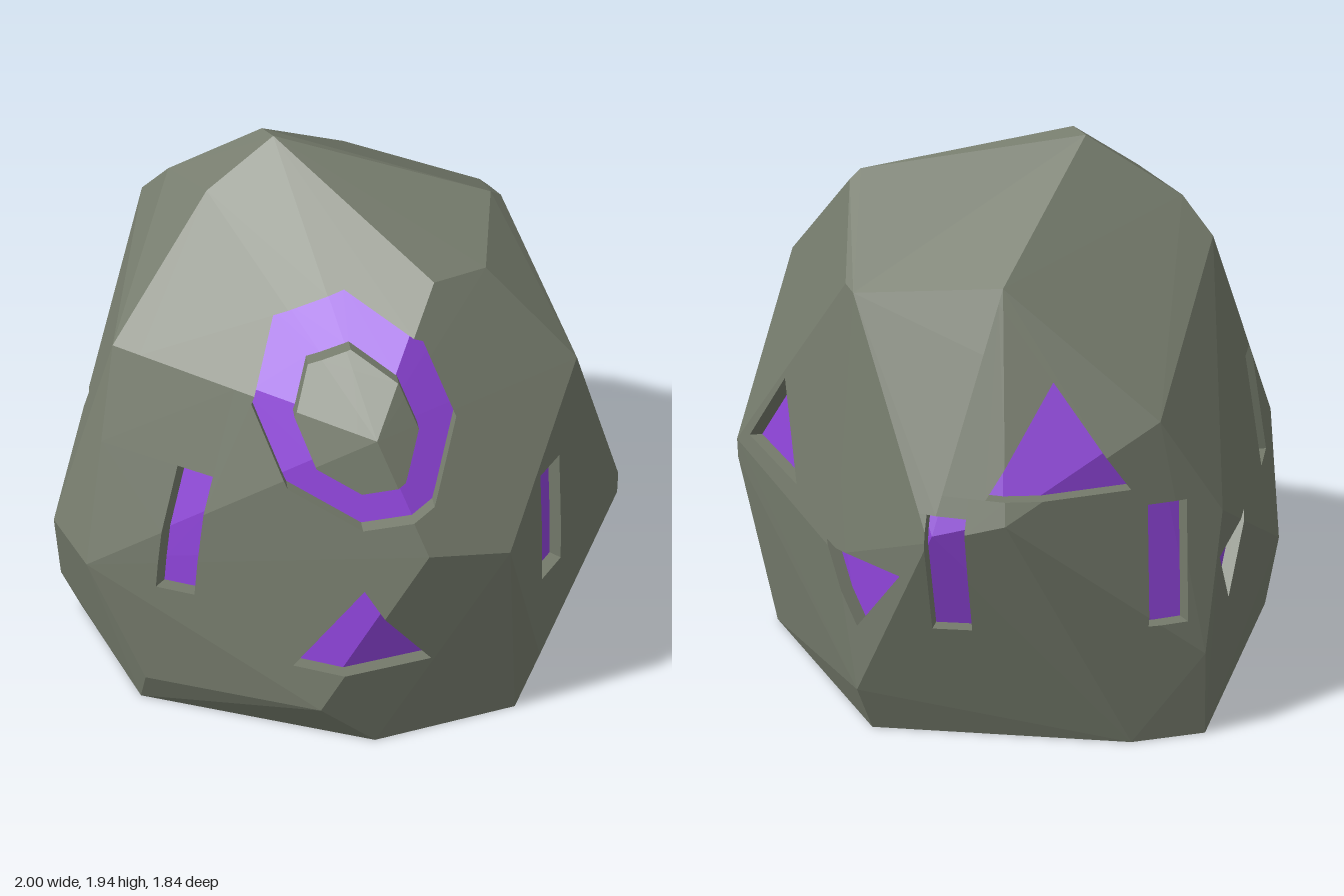
import * as THREE from 'three';
import { ConvexGeometry } from 'three/addons/geometries/ConvexGeometry.js';

const DEPTH = 0.045;

// Corners of the faceted boulder
const corners = [
  // crown
  [-0.17, 1.94, -0.08], [-0.2, 1.93, -0.15], [0.53, 1.77, 0.09], [0.57, 1.74, 0.07],
  [0.28, 1.67, 0.44], [0.46, 1.67, 0.38], [0.62, 1.52, -0.33], [0.6, 1.51, -0.39],
  [0.14, 1.58, -0.6], [-0.6, 1.62, -0.33], [-0.51, 1.74, -0.25], [-0.4, 1.78, -0.03],
  // shoulders
  [0.76, 1.35, 0.48], [0.05, 1.3, 0.76], [-0.75, 1.35, 0.2], [-0.33, 1.19, -0.83],
  // middle
  [0.2, 0.93, 0.92], [0.48, 0.87, 0.87], [1, 0.68, 0.31], [1, 0.6, 0.32],
  [0.7, 0.65, -0.56], [0.42, 0.83, -0.86], [0.18, 0.9, -0.92], [-0.55, 0.85, -0.81],
  [-1, 0.68, 0.28], [-0.9, 0.63, 0.47],
  // lower ring
  [-1, 0.24, 0.07], [-0.73, 0.17, 0.58], [-0.15, 0.24, 0.89], [0.64, 0.27, 0.76],
  [0.65, 0.18, -0.66], [-0.5, 0.34, -0.86],
  // base
  [-0.94, 0, 0], [-0.75, 0, 0.5], [0.05, 0, 0.83], [0.57, 0, 0.74], [0.89, 0, 0.15],
  [0.6, 0, -0.62], [-0.26, 0, -0.84], [-0.52, 0, -0.82],
];

// Rune outlines: convex cells, counter-clockwise, with the edges that need a wall
const cell = (pts, walls = pts.map((_, i) => i)) => ({ pts, walls });
const triangle = (w, y0, y1) => [cell([[-w, y0], [w, y0], [0, y1]])];
const pointDown = (w, y0, y1) => [cell([[0, y0], [w, y1], [-w, y1]])];
const bar = (y0, y1, w = 0.065) => [cell([[-w, y0], [w, y0], [w, y1], [-w, y1]])];
function ring(y, inner, outer) {
  const at = (r, i) => [r * Math.cos(i * Math.PI / 4), y + r * Math.sin(i * Math.PI / 4)];
  return Array.from({ length: 8 }, (_, i) =>
    cell([at(inner, i), at(outer, i), at(outer, i + 1), at(inner, i + 1)], [1, 3]));
}

// Splits a polygon by the sign of f
function split(poly, f) {
  const inside = [], outside = [];
  poly.forEach((a, i) => {
    const b = poly[(i + 1) % poly.length], fa = f(a), fb = f(b);
    if (fa >= -1e-7) inside.push(a);
    if (fa <= 1e-7) outside.push(a);
    if ((fa > 1e-7 && fb < -1e-7) || (fa < -1e-7 && fb > 1e-7)) {
      const p = a.clone().lerp(b, fa / (fa - fb));
      inside.push(p);
      outside.push(p);
    }
  });
  return [inside, outside];
}

function normalOf(poly) {
  const n = new THREE.Vector3();
  poly.forEach((p, i) => n.add(p.clone().cross(poly[(i + 1) % poly.length])));
  return n;
}

// Sinks one cell into the faces that look along the rune's direction
function carve(faces, { pts, walls }, degrees, offset, floor) {
  const t = THREE.MathUtils.degToRad(degrees);
  const dir = new THREE.Vector3(Math.sin(t), 0, Math.cos(t));
  const side = new THREE.Vector3(Math.cos(t), 0, -Math.sin(t));
  const edges = pts.map(([u, v], i) => {
    const [u2, v2] = pts[(i + 1) % pts.length], len = Math.hypot(u2 - u, v2 - v);
    return p => ((u2 - u) * (p.y - v) - (v2 - v) * (p.dot(side) - offset - u)) / len;
  });
  const sink = p => p.clone().addScaledVector(dir, -DEPTH);
  const result = [];
  for (const face of faces) {
    // walls already cut and faces turned away stay whole
    if (face.wall || normalOf(face).normalize().dot(dir) < 0.15) {
      result.push(face);
      continue;
    }
    let rest = face;
    const pieces = [];
    for (const f of edges) {
      const [inside, outside] = split(rest, f);
      if (outside.length > 2 && normalOf(outside).length() > 1e-7) pieces.push(outside);
      rest = inside;
      if (rest.length < 3) break;
    }
    if (rest.length < 3 || normalOf(rest).length() < 1e-7) {
      result.push(face);
      continue;
    }
    result.push(...pieces);
    floor.push(rest.map(sink));
    rest.forEach((a, i) => {
      const b = rest[(i + 1) % rest.length];
      if (walls.some(w => Math.abs(edges[w](a)) < 1e-5 && Math.abs(edges[w](b)) < 1e-5)) {
        const wall = [a, b, sink(b), sink(a)];
        wall.wall = true;
        result.push(wall);
      }
    });
  }
  return result;
}

function meshOf(name, polys, material) {
  const points = [];
  for (const p of polys)
    for (let i = 1; i < p.length - 1; i++) points.push(p[0], p[i], p[i + 1]);
  const geometry = new THREE.BufferGeometry().setFromPoints(points);
  geometry.computeVertexNormals();
  const mesh = new THREE.Mesh(geometry, material);
  mesh.name = name;
  return mesh;
}

export function createModel() {
  const stone = new THREE.MeshStandardMaterial({ color: 0x747a6b });
  stone.name = 'stone';
  const purple = new THREE.MeshStandardMaterial({ color: 0x8e44d8 });
  purple.name = 'purple';
  const group = new THREE.Group();
  group.name = 'runeBoulder';

  // Whole boulder as triangles
  const hull = new ConvexGeometry(corners.map(c => new THREE.Vector3(...c)));
  const pos = hull.getAttribute('position');
  let faces = [];
  for (let i = 0; i < pos.count; i += 3)
    faces.push([0, 1, 2].map(k => new THREE.Vector3().fromBufferAttribute(pos, i + k)));

  // Runes: name, outline, heading in degrees from the front, sideways offset
  const runes = [
    ['frontRing', ring(1.297, 0.193, 0.323), 0, 0],
    ['frontTriangle', triangle(0.235, 0.4, 0.75), 0, 0],
    ['leftTriangle', triangle(0.21, 0.74, 1.05), 90, 0],
    ['rightBar', bar(0.62, 1.06, 0.07), -90, 0],
    ['backTriangle', triangle(0.235, 0.97, 1.31), 180, 0],
  ];
  for (const s of [1, -1]) {
    const label = s > 0 ? 'Left' : 'Right';
    runes.push(['frontBar' + label, bar(0.6, 1.04), s * 45, 0]);
    runes.push(['backBar' + label, bar(0.47, 0.91), s * 157, 0]);
    runes.push(['backPointDown' + label, pointDown(0.18, 0.42, 0.67), s * 120, s * 0.24]);
  }
  for (const [name, cells, heading, offset] of runes) {
    const floor = [];
    for (const c of cells) faces = carve(faces, c, heading, offset, floor);
    group.add(meshOf(name, floor, purple));
  }
  group.add(meshOf('boulder', faces, stone));
  return group;
}
